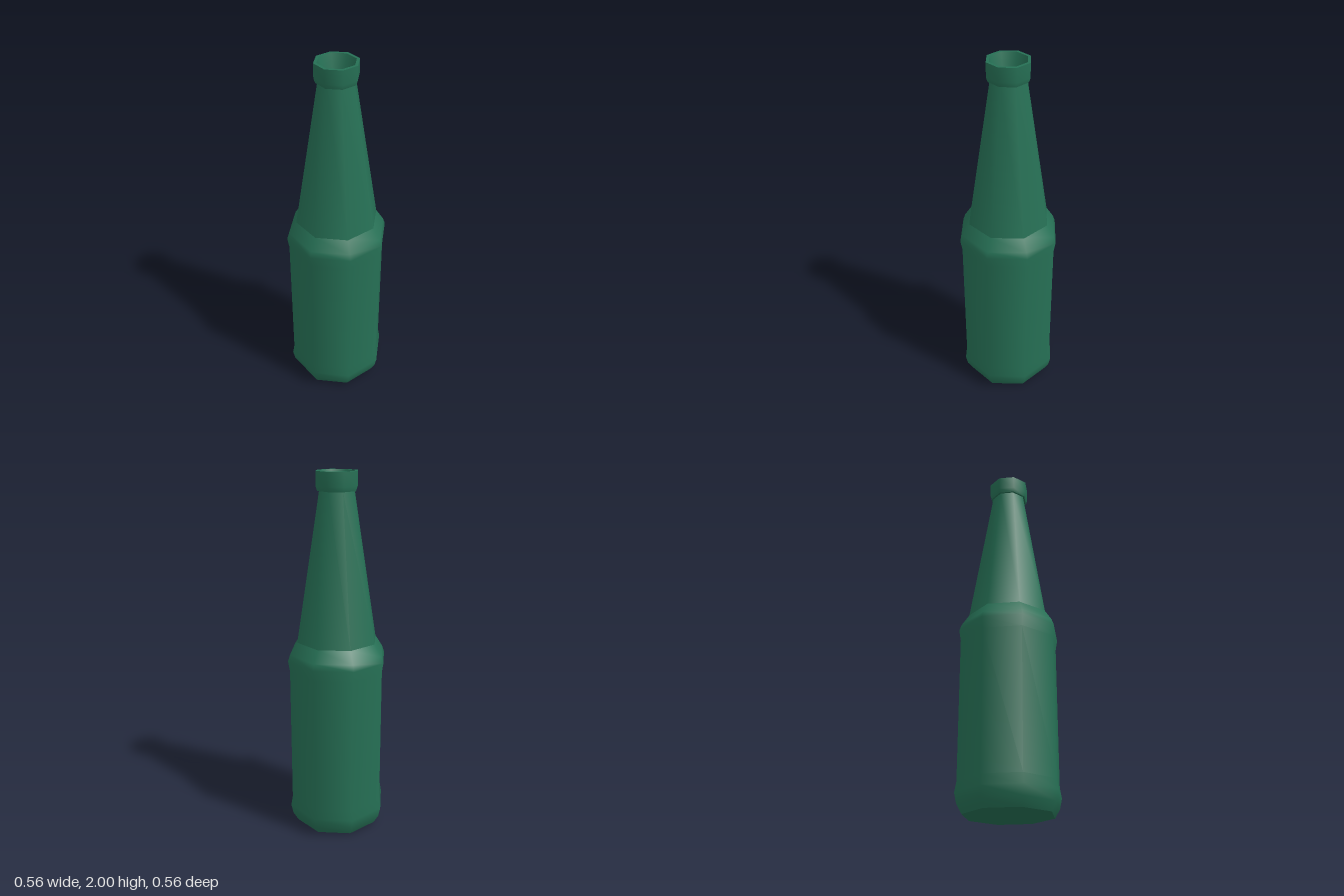
import * as THREE from 'three';

const SIDES = 8;

export function createModel() {
  const bottle = new THREE.Group();
  bottle.name = 'bottle';
  const glass = new THREE.MeshStandardMaterial({ color: 0x267055 });
  glass.name = 'green glass';

  // Each part is an eight-sided turned profile of [radius, height] points
  const turn = (name, profile) => {
    const points = profile.map(([r, y]) => new THREE.Vector2(r, y));
    const mesh = new THREE.Mesh(new THREE.LatheGeometry(points, SIDES), glass);
    mesh.name = name;
    bottle.add(mesh);
  };

  // Slightly domed underside
  turn('base', [[0, 0], [0.24, 0.012]]);

  // Straight body between two swollen bands, then the tapering neck
  turn('body', [
    [0.24, 0.012], [0.268, 0.06], [0.28, 0.115], [0.27, 0.17],
    [0.27, 0.94], [0.28, 1.0], [0.268, 1.035], [0.226, 1.1],
  ]);
  turn('neck', [[0.226, 1.1], [0.097, 1.9]]);

  // Collar around the mouth
  turn('lipUnderside', [[0.095, 1.9], [0.107, 1.9]]);
  turn('lip', [[0.107, 1.9], [0.115, 1.925], [0.115, 2.0]]);
  turn('rim', [[0.115, 2.0], [0.099, 2.0]]);

  // Recessed opening
  turn('mouthWall', [[0.099, 2.0], [0.09, 1.965], [0.08, 1.92]]);
  turn('mouthFloor', [[0.08, 1.92], [0, 1.92]]);

  return bottle;
}
